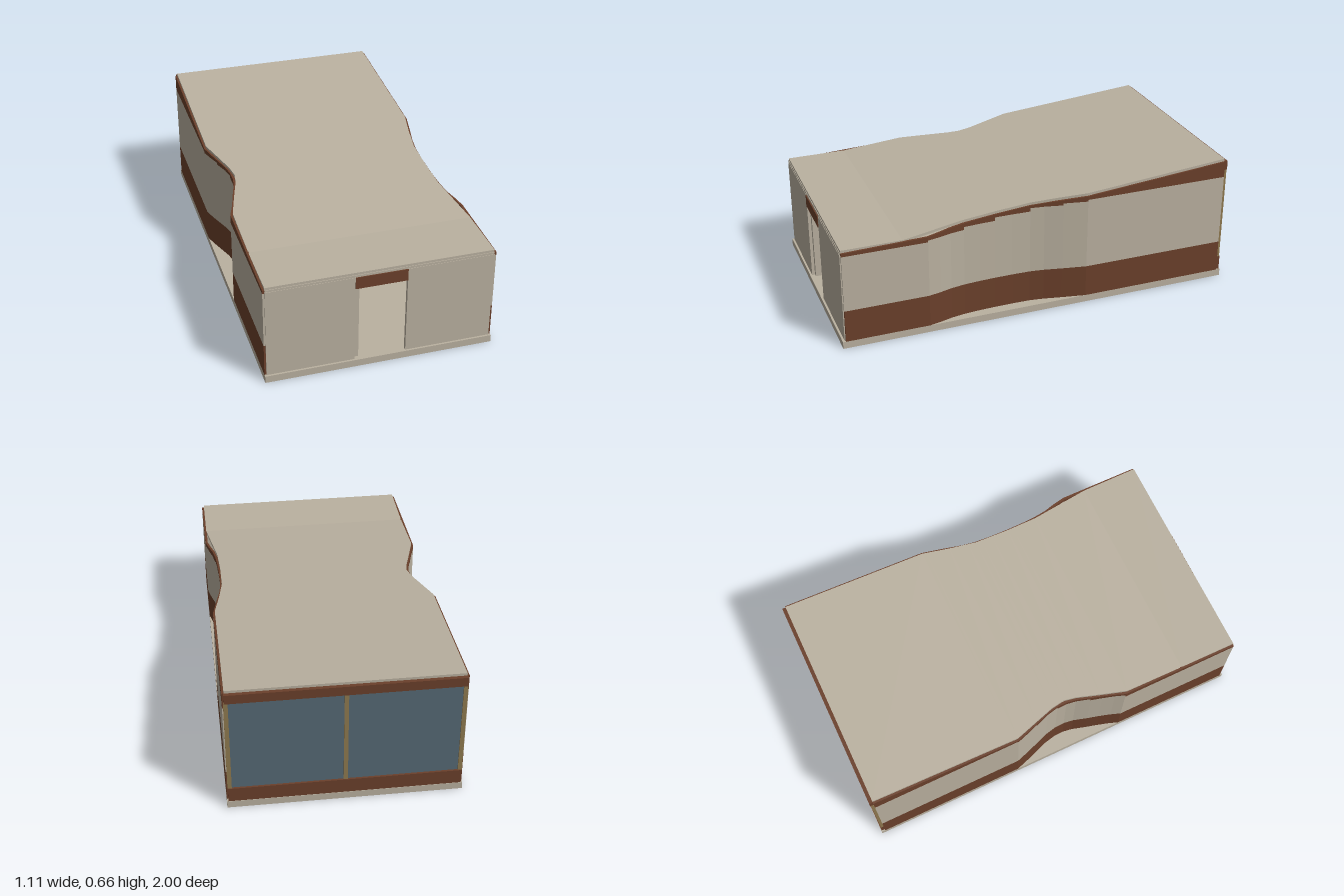
import * as THREE from 'three';
import { mergeGeometries } from 'three/addons/utils/BufferGeometryUtils.js';

const mat = (name, color) => Object.assign(new THREE.MeshStandardMaterial({ color }), { name });

// Height of the roof's upper face: level at the front, rising to the back
const roofY = (z) => 0.515 + Math.max(0, 0.69 - z) * 0.0868;
const ROOF_T = 0.013;
const under = (z) => roofY(z) - ROOF_T;

// Closed solid over a plan quad [[x, z] x 4], with bottom and top height rules of z
function prism(quad, bottom, top) {
  const [p, q, r] = quad;
  const turn = (q[1] - p[1]) * (r[0] - q[0]) - (q[0] - p[0]) * (r[1] - q[1]);
  const plan = turn > 0 ? quad : [...quad].reverse();
  const b = plan.map(([x, z]) => [x, bottom(z), z]);
  const t = plan.map(([x, z]) => [x, top(z), z]);
  const pos = [];
  const face = (a, c, d, e) => pos.push(...a, ...c, ...d, ...a, ...d, ...e);
  face(t[0], t[1], t[2], t[3]);
  face(b[3], b[2], b[1], b[0]);
  for (let i = 0; i < 4; i++) {
    const j = (i + 1) % 4;
    face(b[i], b[j], t[j], t[i]);
  }
  const g = new THREE.BufferGeometry();
  g.setAttribute('position', new THREE.Float32BufferAttribute(pos, 3));
  g.computeVertexNormals();
  return g;
}

// Linear interpolation of [z, x] points with rising z
function along(points, z) {
  for (let i = 1; i < points.length; i++) {
    const [z0, x0] = points[i - 1], [z1, x1] = points[i];
    if (z <= z1) return x0 + (x1 - x0) * (z - z0) / (z1 - z0);
  }
  return points[points.length - 1][1];
}

export function createModel() {
  const model = new THREE.Group();
  model.name = 'house';
  const plaster = mat('plaster', 0xbab1a0);
  const wood = mat('brownWood', 0x6b402b);
  const frame = mat('tanFrame', 0x907a50);
  const glass = mat('glass', 0x566a75);

  const add = (name, geometry, material, parent = model) => {
    const m = new THREE.Mesh(geometry, material);
    m.name = name;
    parent.add(m);
    return m;
  };
  // Box given by its limits
  const box = (name, material, x0, x1, y0, y1, z0, z1, parent) =>
    add(name, new THREE.BoxGeometry(x1 - x0, y1 - y0, z1 - z0), material, parent)
      .position.set((x0 + x1) / 2, (y0 + y1) / 2, (z0 + z1) / 2);

  box('floorSlab', plaster, -0.555, 0.555, 0, 0.036, -1, 1);

  // Side walls: outer line [z, |x|] pinched inward, in three stacked bands
  const leftLine = [[-0.98, 0.555], [-0.24, 0.555], [-0.12, 0.532], [-0.03, 0.513], [0.04, 0.504],
    [0.13, 0.502], [0.22, 0.503], [0.3, 0.506], [0.38, 0.512], [0.45, 0.524], [0.51, 0.541], [0.57, 0.555], [0.985, 0.555]];
  const rightLine = [[-0.98, 0.555], [-0.22, 0.555], [-0.16, 0.536], [-0.1, 0.515], [-0.03, 0.49],
    [0.03, 0.477], [0.08, 0.475], [0.13, 0.482], [0.2, 0.503], [0.26, 0.519], [0.32, 0.537], [0.37, 0.555], [0.985, 0.555]];
  // Stepped top of the plaster band: [start z, height]
  const steps = [[0.57, 0.486], [0.38, 0.495], [0.22, 0.51], [0.04, 0.528], [-0.12, 0.546], [-0.24, 0.556], [-2, 0.565]];
  const stepY = (z) => steps.find(([s]) => z > s)[1];

  function sideWall(name, line, side) {
    const group = new THREE.Group();
    group.name = name;
    model.add(group);
    const bands = [[], [], []];
    for (let i = 1; i < line.length; i++) {
      const [z0, x0] = line[i - 1], [z1, x1] = line[i];
      const quad = [[side * x0, z0], [side * x1, z1], [side * (x1 - 0.012), z1], [side * (x0 - 0.012), z0]];
      const y = stepY((z0 + z1) / 2);
      bands[0].push(prism(quad, () => 0.036, () => 0.2));
      bands[1].push(prism(quad, () => 0.2, () => y));
      bands[2].push(prism(quad, () => y, under));
    }
    add('lowerBand', mergeGeometries(bands[0]), wood, group);
    add('middleBand', mergeGeometries(bands[1]), plaster, group);
    add('upperBand', mergeGeometries(bands[2]), wood, group);
  }
  sideWall('leftWall', leftLine, 1);
  sideWall('rightWall', rightLine, -1);

  // Roof: slab whose edges follow the pinched walls
  const roofLeft = [[-0.98, 0.545], [-0.24, 0.545], [-0.1, 0.517], [0.04, 0.495], [0.22, 0.494], [0.38, 0.5], [0.69, 0.545], [0.985, 0.545]];
  const roofRight = [[-0.98, 0.545], [-0.22, 0.545], [-0.1, 0.506], [0.0, 0.474], [0.07, 0.462], [0.13, 0.472], [0.25, 0.508], [0.38, 0.545], [0.985, 0.545]];
  const stations = [...new Set([...roofLeft, ...roofRight].map(([z]) => z))].sort((a, b) => a - b);
  const slabs = [];
  for (let i = 1; i < stations.length; i++) {
    const z0 = stations[i - 1], z1 = stations[i];
    slabs.push(prism([[-along(roofRight, z0), z0], [-along(roofRight, z1), z1],
      [along(roofLeft, z1), z1], [along(roofLeft, z0), z0]], under, roofY));
  }
  add('roof', mergeGeometries(slabs), plaster);

  // Front wall with doorway, header and the door swung inward
  for (const s of [-1, 1]) {
    box('frontWall', plaster, Math.min(s * 0.125, s * 0.546), Math.max(s * 0.125, s * 0.546), 0.036, 0.492, 0.972, 0.99);
  }
  box('frontTopBeam', plaster, -0.545, 0.545, 0.492, 0.503, 0.972, 0.988);
  box('doorHeader', wood, -0.125, 0.125, 0.432, 0.492, 0.972, 0.993);
  box('openDoor', plaster, -0.125, -0.102, 0.038, 0.432, 0.73, 0.975);

  // Glazed back wall
  box('backSill', wood, -0.548, 0.548, 0.036, 0.11, -0.998, -0.976);
  box('backHeader', wood, -0.548, 0.548, 0.6, 0.647, -0.998, -0.976);
  box('backGlass', glass, -0.54, 0.54, 0.11, 0.6, -0.988, -0.983);
  for (const x of [-0.54, 0, 0.54]) {
    box('windowPost', frame, x - 0.01, x + 0.01, 0.11, 0.6, -0.994, -0.978);
  }

  // Table inside
  const table = new THREE.Group();
  table.name = 'table';
  model.add(table);
  box('tableTop', wood, -0.11, 0.11, 0.15, 0.161, -0.15, 0.15, table);
  for (const x of [-0.094, 0.094]) {
    for (const z of [-0.13, 0.13]) {
      box('tableLeg', frame, x - 0.008, x + 0.008, 0.036, 0.15, z - 0.008, z + 0.008, table);
    }
  }
  return model;
}
